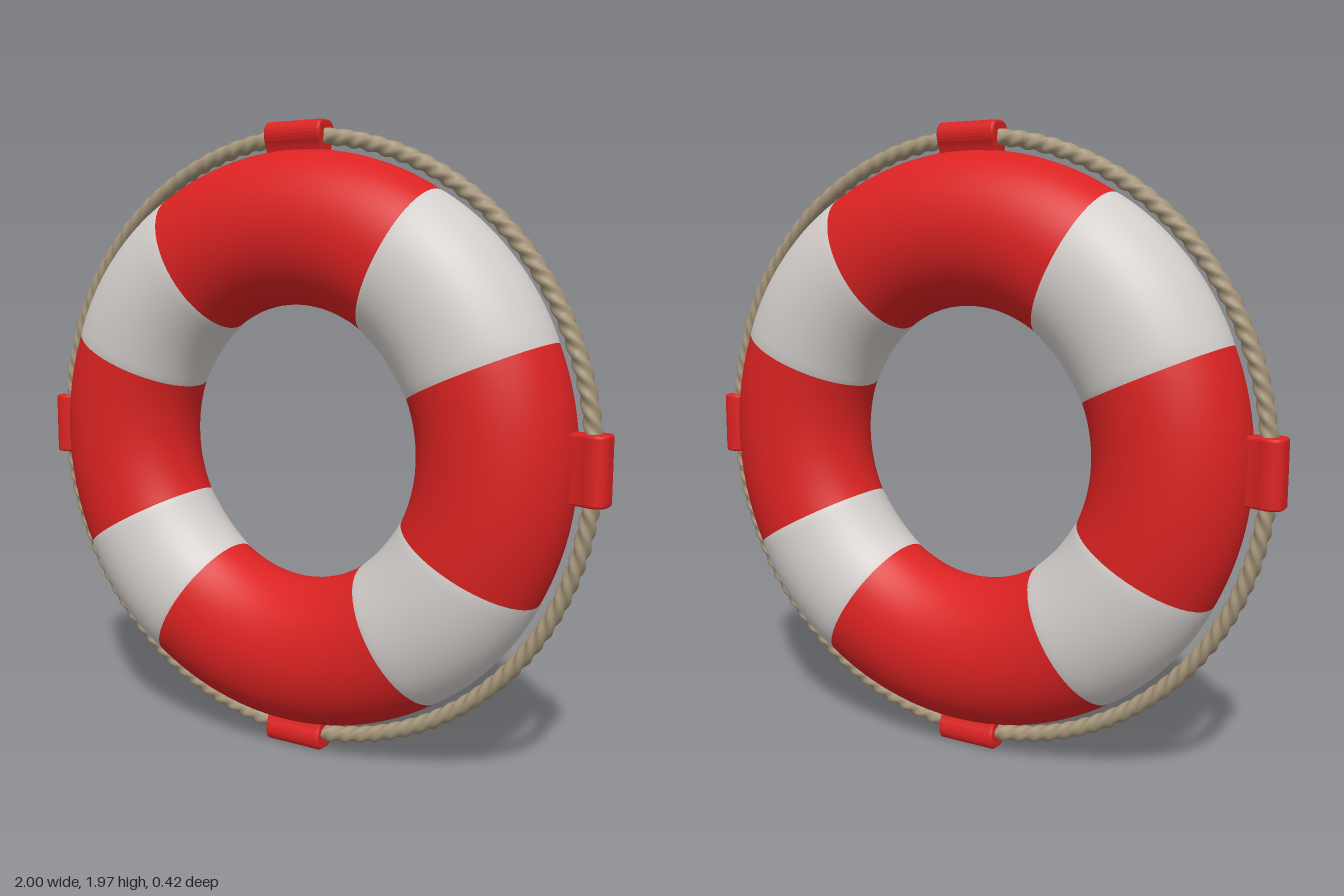
import * as THREE from 'three';

const CENTER_Y = 0.985;
const RAD = Math.PI / 180;

// Smooth surface over an (nu x nv) grid, closed in v and optionally in u
function loopSurface(nu, nv, closedU, point) {
  const pos = [], idx = [];
  const rows = closedU ? nu : nu + 1;
  for (let i = 0; i < rows; i++)
    for (let j = 0; j < nv; j++) pos.push(...point(i / nu, (j / nv) * Math.PI * 2));
  for (let i = 0; i < nu; i++)
    for (let j = 0; j < nv; j++) {
      const i2 = (i + 1) % rows, j2 = (j + 1) % nv;
      const a = i * nv + j, b = i2 * nv + j, c = i2 * nv + j2, d = i * nv + j2;
      idx.push(a, b, c, a, c, d);
    }
  const g = new THREE.BufferGeometry();
  g.setAttribute('position', new THREE.Float32BufferAttribute(pos, 3));
  g.setIndex(idx);
  g.computeVertexNormals();
  return g;
}

// One padded section of the ring between two seams; a seam is [outer, inner] degrees
function ringSection(start, end, bulge) {
  return loopSurface(28, 56, false, (t, v) => {
    const k = (1 - Math.cos(v)) / 2;
    const a0 = start[0] + (start[1] - start[0]) * k;
    const a1 = end[0] + (end[1] - end[0]) * k;
    const a = (a0 + (a1 - a0) * t) * RAD;
    const puff = bulge * Math.pow(Math.sin(Math.PI * t), 0.5);
    const r = 0.666 + (0.234 + puff * 0.5) * Math.cos(v);
    return [r * Math.cos(a), r * Math.sin(a), (0.202 + puff) * Math.sin(v)];
  });
}

export function createModel() {
  const red = new THREE.MeshStandardMaterial({ color: 0xdb2222 });
  red.name = 'red canvas';
  const white = new THREE.MeshStandardMaterial({ color: 0xd3cecb });
  white.name = 'white canvas';
  const tan = new THREE.MeshStandardMaterial({ color: 0xa39378 });
  tan.name = 'tan rope';

  const model = new THREE.Group();
  model.name = 'lifebuoy';
  const add = (geo, mat, name, parent = model) => {
    const mesh = new THREE.Mesh(geo, mat);
    mesh.name = name;
    parent.add(mesh);
    return mesh;
  };

  // Ring: alternating red and white sections
  const ring = new THREE.Group();
  ring.name = 'ring';
  ring.position.y = CENTER_Y;
  model.add(ring);
  const seams = [[-27, -26], [22.3, 22], [58.6, 55], [121.6, 125],
    [157.6, 158.5], [207.2, 205.5], [236.7, 236], [303.3, 304]];
  seams.forEach((seam, i) => {
    const next = i < 7 ? seams[i + 1] : seams[0].map((a) => a + 360);
    const isRed = i % 2 === 0;
    add(ringSection(seam, next, isRed ? 0 : 0.008), isRed ? red : white,
      isRed ? 'redSection' : 'whiteSection', ring);
  });

  // Grab rope: three twisted strands swept around the ring
  const ropeX = 0.953, ropeY = 0.938, turns = 36;
  const rope = add(loopSurface(504, 18, true, (t, v) => {
    const a = t * Math.PI * 2;
    const s = 0.0235 + 0.0035 * Math.cos(3 * (v - turns * a));
    const out = s * Math.cos(v);
    return [(ropeX + out) * Math.cos(a), (ropeY + out) * Math.sin(a), s * Math.sin(v)];
  }), tan, 'grabRope');
  rope.position.y = CENTER_Y;

  // Rope sleeves: rounded loop over the rope, narrowing into the ring
  const profile = new THREE.Shape();
  profile.moveTo(-0.016, -0.075);
  profile.lineTo(0.016, -0.075);
  profile.quadraticCurveTo(0.02, -0.035, 0.034, -0.01);
  profile.bezierCurveTo(0.044, 0.015, 0.034, 0.038, 0.016, 0.038);
  profile.lineTo(-0.016, 0.038);
  profile.bezierCurveTo(-0.034, 0.038, -0.044, 0.015, -0.034, -0.01);
  profile.quadraticCurveTo(-0.02, -0.035, -0.016, -0.075);
  const sleeveGeo = new THREE.ExtrudeGeometry(profile, {
    depth: 0.184, curveSegments: 8, bevelEnabled: true,
    bevelSize: 0.008, bevelThickness: 0.008, bevelSegments: 3,
  });
  sleeveGeo.translate(0, 0, -0.092);
  sleeveGeo.rotateY(Math.PI / 2);
  ['topSleeve', 'rightSleeve', 'bottomSleeve', 'leftSleeve'].forEach((name, i) => {
    const pivot = new THREE.Group();
    pivot.name = name;
    pivot.position.y = CENTER_Y;
    pivot.rotation.z = (i * Math.PI) / 2;
    model.add(pivot);
    add(sleeveGeo, red, name + 'Loop', pivot).position.y = i % 2 ? ropeX : ropeY;
  });

  return model;
}
